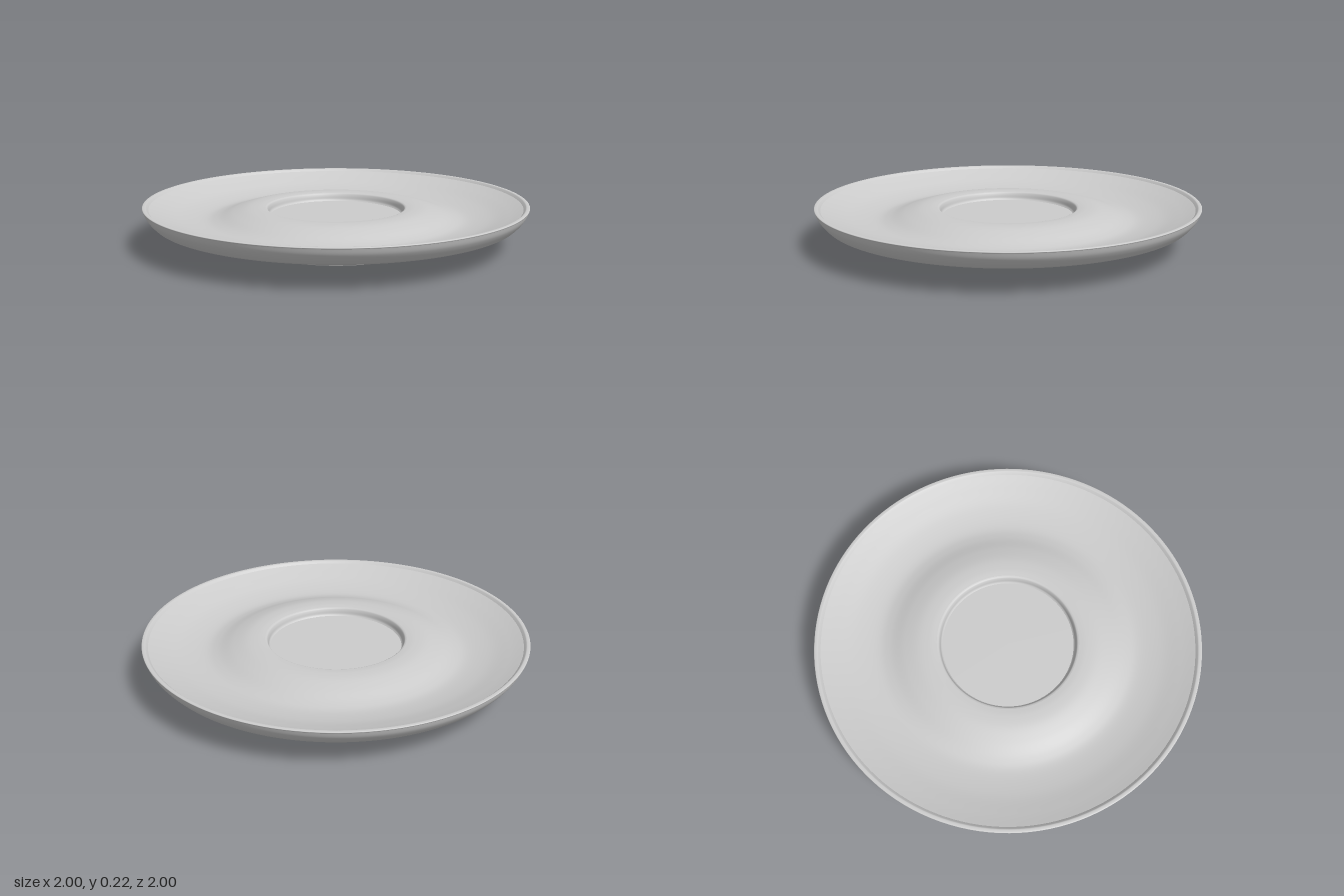
import * as THREE from 'three';

const SEGMENTS = 128;

// Revolves a smooth curve through [radius, height] points around the y axis.
function revolve(name, points, samples) {
  const curve = new THREE.SplineCurve(points.map(([r, y]) => new THREE.Vector2(r, y)));
  const profile = samples ? curve.getPoints(samples) : curve.points;
  profile.forEach((p) => { p.x = Math.max(p.x, 0); });
  const mesh = new THREE.Mesh(
    new THREE.LatheGeometry(profile, SEGMENTS),
    new THREE.MeshStandardMaterial({ color: 0xcccccc, side: THREE.DoubleSide })
  );
  mesh.name = name;
  return mesh;
}

export function createModel() {
  const saucer = new THREE.Group();
  saucer.name = 'saucer';

  saucer.add(
    // Recessed underside within the foot ring
    revolve('baseRecess', [[0, 0.045], [0.44, 0.045]]),
    revolve('footInnerWall', [[0.44, 0.045], [0.45, 0.04], [0.458, 0.02], [0.465, 0]], 12),
    // Foot ring the saucer stands on
    revolve('footBottom', [[0.465, 0], [0.492, 0]]),
    revolve('footOuterWall', [[0.492, 0], [0.497, 0.012], [0.5, 0.035], [0.507, 0.047], [0.53, 0.053]], 16),
    // Shallow underside curving up into the rim
    revolve('underside', [
      [0.53, 0.053], [0.65, 0.066], [0.8, 0.092], [0.92, 0.122],
      [0.955, 0.143], [0.985, 0.18], [0.998, 0.212]
    ], 48),
    // Rounded lip and the small step inside it
    revolve('rim', [[0.998, 0.212], [1, 0.216], [0.996, 0.219], [0.983, 0.219], [0.976, 0.214], [0.968, 0.206]], 20),
    // Dish: falls to a trough, then swells into a ring around the cup well
    revolve('dish', [
      [0.968, 0.206], [0.9, 0.181], [0.8, 0.15], [0.69, 0.133], [0.62, 0.141],
      [0.54, 0.168], [0.47, 0.186], [0.41, 0.191], [0.37, 0.189]
    ], 64),
    // Cup well with a rounded edge and flat floor
    revolve('wellWall', [[0.37, 0.189], [0.36, 0.185], [0.354, 0.172], [0.35, 0.155], [0.343, 0.146]], 16),
    revolve('wellFloor', [[0.343, 0.146], [0, 0.146]])
  );

  return saucer;
}
